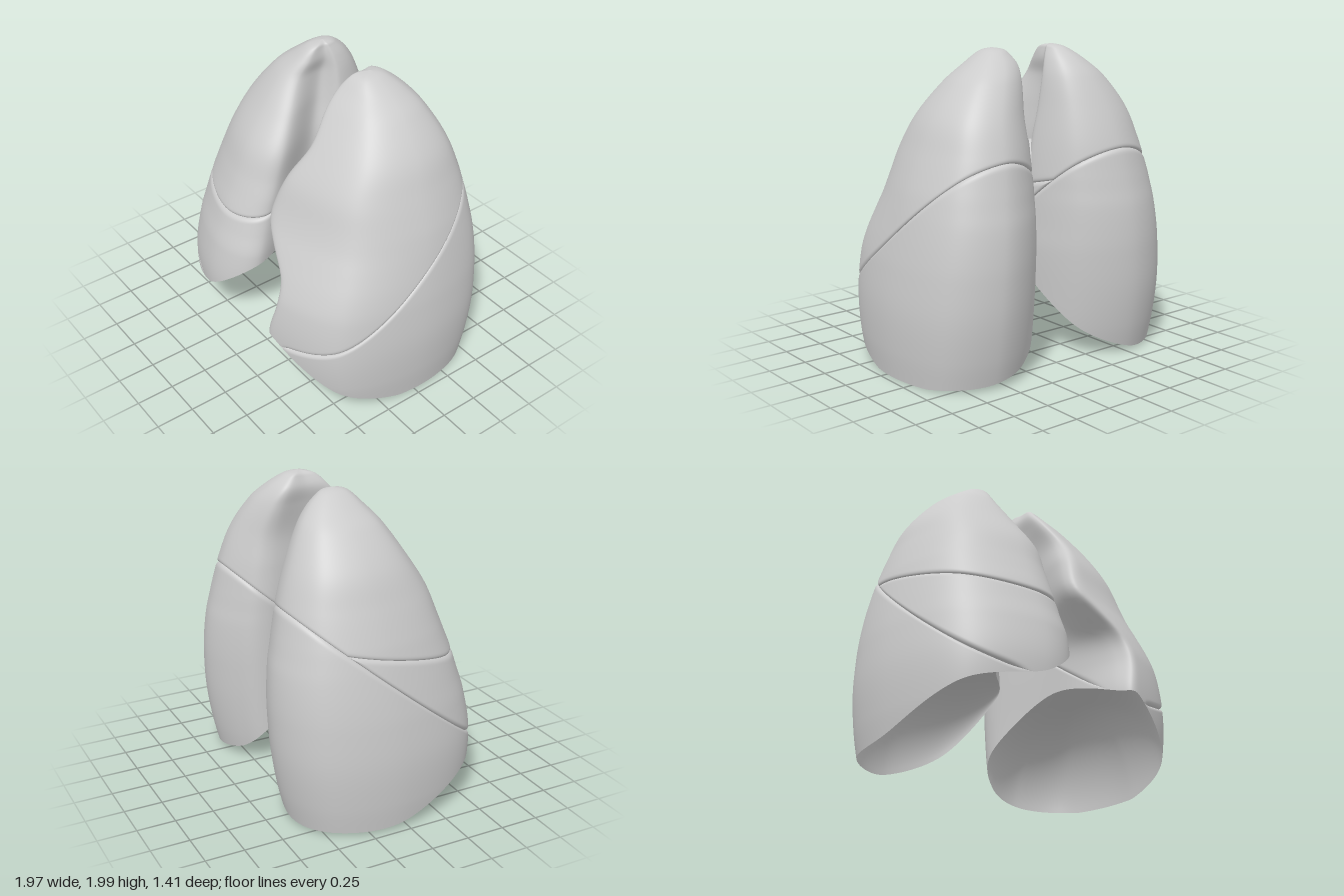
import * as THREE from 'three';

const lungMat = new THREE.MeshStandardMaterial({ color: 0xcccccc });
lungMat.name = 'lung grey';

const NU = 162;
const mix = THREE.MathUtils.lerp;
const clamp = THREE.MathUtils.clamp;

// Outer envelope shared by both lungs: height, outer x, front z, back z
const ENVELOPE = [
  [-0.02, 0.95, 0.62, -0.60], [0.2, 0.975, 0.68, -0.65], [0.45, 0.983, 0.70, -0.685],
  [0.7, 0.963, 0.66, -0.695], [0.85, 0.94, 0.61, -0.69], [1.0, 0.91, 0.56, -0.675],
  [1.1, 0.887, 0.52, -0.655], [1.2, 0.86, 0.48, -0.635], [1.4, 0.79, 0.4, -0.59],
  [1.6, 0.705, 0.265, -0.52], [1.8, 0.55, 0.12, -0.42], [1.9, 0.43, 0.03, -0.34],
  [1.97, 0.33, -0.04, -0.255], [1.99, 0.288, -0.085, -0.21], [2.0, 0.24, -0.15, -0.15],
];

// Per lung: inner x of the rear bulge, hollow and front edge (one per envelope row),
// lower rim height around the section, fissure sheets y = a + b z + c z z
const LEFT = {
  name: 'left', sign: 1, bulgeZ: 0.21, edgeZ: 0.94, frontX: 0.19, cornerX: 0.68, dome: 0.61,
  bulge: [0.17, 0.16, 0.16, 0.16, 0.16, 0.16, 0.16, 0.16, 0.17, 0.18, 0.15, 0.14, 0.17, 0.19, 0.24],
  hollow: [0.28, 0.27, 0.26, 0.25, 0.24, 0.22, 0.21, 0.2, 0.2, 0.2, 0.17, 0.155, 0.18, 0.2, 0.24],
  edge: [0.32, 0.31, 0.3, 0.345, 0.315, 0.175, 0.088, 0.07, 0.115, 0.18, 0.15, 0.15, 0.18, 0.2, 0.24],
  rim: [0.46, 0.41, 0.13, -0.01, 0.02, 0.04, 0.11, 0.3, 0.58],
  oblique: [0.86, -0.76, 0.13],
  hilum: { u: 7.55, y: 1.2, turn: 0.1 },
};
const RIGHT = {
  name: 'right', sign: -1, bulgeZ: 0.41, edgeZ: 0.89, frontX: 0.32, cornerX: 0.75, dome: 0.64,
  bulge: [0.1, 0.06, 0.04, 0.03, 0.035, 0.04, 0.045, 0.05, 0.07, 0.1, 0.13, 0.155, 0.185, 0.2, 0.24],
  hollow: [0.25, 0.22, 0.2, 0.19, 0.18, 0.18, 0.18, 0.18, 0.18, 0.2, 0.21, 0.19, 0.2, 0.21, 0.24],
  edge: [0.1, 0.08, 0.06, 0.04, 0.05, 0.06, 0.06, 0.065, 0.075, 0.14, 0.21, 0.2, 0.2, 0.21, 0.24],
  rim: [0.64, 0.385, 0.27, 0.05, 0.03, 0.035, 0.21, 0.54, 0.64],
  oblique: [0.87, -0.79, 0.04],
  horizontal: [1.08, -0.22, 0],
  hilum: { u: 7.5, y: 1.22, turn: 0.55 },
};

// Smooth interpolation of a column over the envelope heights
function column(values, y) {
  const h = ENVELOPE.map((r) => r[0]);
  const n = h.length;
  let i = 0;
  while (i < n - 2 && y > h[i + 1]) i++;
  const slope = (k) => {
    const a = Math.max(k - 1, 0), b = Math.min(k + 1, n - 1);
    return (values[b] - values[a]) / (h[b] - h[a]);
  };
  const d = h[i + 1] - h[i], t = clamp((y - h[i]) / d, 0, 1), t2 = t * t, t3 = t2 * t;
  return (2 * t3 - 3 * t2 + 1) * values[i] + (t3 - 2 * t2 + t) * d * slope(i)
    + (3 * t2 - 2 * t3) * values[i + 1] + (t3 - t2) * d * slope(i + 1);
}

// Closed Catmull-Rom through a ring of values
function ring(v, u) {
  const n = v.length, i = Math.floor(u), t = u - i;
  const [a, b, c, d] = [-1, 0, 1, 2].map((k) => v[(i + k + n) % n]);
  return 0.5 * (2 * b + (c - a) * t + (2 * a - 5 * b + 4 * c - d) * t * t
    + (3 * b - a - 3 * c + d) * t * t * t);
}

// Point on the lung wall; u runs 0..9 from the front edge round the outside to the hollow
function wall(L, u, y, inset = 0) {
  const [xo, zf, zb] = [1, 2, 3].map((k) => column(ENVELOPE.map((r) => r[k]), y));
  const xm = column(L.bulge, y), xc = column(L.hollow, y), xa = column(L.edge, y);
  const xf = mix(xa, xo, L.frontX), xb = mix(xm, xo, 0.52);
  const zo = mix(zb, zf, 0.48), zm = mix(zb, zf, L.bulgeZ);
  const xs = [xa, xf, mix(xf, xo, 0.74), xo, mix(xb, xo, 0.77), xb, mix(xb, xm, L.cornerX), xm, xc];
  const zs = [mix(zb, zf, L.edgeZ), zf, mix(zo, zf, 0.72), zo, mix(zo, zb, 0.73), zb,
    mix(zm, zb, 0.7), zm, mix(zb, zf, 0.57)];
  const k = inset / 0.45;
  return new THREE.Vector3(mix(ring(xs, u), (xm + xo) / 2, k), y, mix(ring(zs, u), zo, k));
}

// Height at which a fissure sheet meets the wall
function cut(L, [a, b, c], u) {
  let lo = 0, hi = 1.99;
  for (let i = 0; i < 22; i++) {
    const y = (lo + hi) / 2, z = wall(L, u, y).z;
    if (y < a + b * z + c * z * z) lo = y; else hi = y;
  }
  return lo;
}

// Surface from closed rings, mirrored for the other side
function loft(name, L, nv, point) {
  const pos = [], idx = [];
  for (let j = 0; j <= nv; j++) {
    for (let i = 0; i < NU; i++) {
      const p = point(i, j / nv);
      pos.push(p.x * L.sign, p.y, p.z);
    }
  }
  for (let j = 0; j < nv; j++) {
    for (let i = 0; i < NU; i++) {
      const a = j * NU + i, b = j * NU + (i + 1) % NU, c = b + NU, d = a + NU;
      if (L.sign > 0) idx.push(a, b, c, a, c, d);
      else idx.push(a, c, b, a, d, c);
    }
  }
  const g = new THREE.BufferGeometry();
  g.setAttribute('position', new THREE.Float32BufferAttribute(pos, 3));
  g.setIndex(idx);
  g.computeVertexNormals();
  const mesh = new THREE.Mesh(g, lungMat);
  mesh.name = name;
  return mesh;
}

// One lobe between two height rings, rounded in where it meets a fissure
function lobe(name, L, rim, low, high, nv) {
  const rounding = (d) => {
    const e = clamp(1 - d / 0.03, 0, 1);
    return 0.018 * (1 - Math.sqrt(1 - e * e));
  };
  return loft(name, L, nv, (i, v) => {
    const t = 0.5 - 0.5 * Math.cos(Math.PI * v);
    const y = mix(low[i], high[i], t);
    const atFissure = (h) => THREE.MathUtils.smoothstep(h - rim[i], 0, 0.06);
    let inset = rounding(y - low[i]) * atFissure(low[i]);
    if (high[i] < 1.99) inset = Math.max(inset, rounding(high[i] - y) * atFissure(high[i]));
    return wall(L, i * 9 / NU, y, inset);
  });
}

// Root of the lung on the inner face, with the rims of cut airways and vessels
function hilum(L) {
  const g = new THREE.Group();
  g.name = L.name + 'Hilum';
  const plate = new THREE.Mesh(new THREE.CylinderGeometry(1, 1, 0.03, 32), lungMat);
  plate.name = 'hilumPlate';
  plate.rotation.z = Math.PI / 2;
  plate.scale.set(0.17, 1, 0.11);
  g.add(plate);
  for (const [y, z, r] of [[0.09, 0, 0.045], [0, 0.045, 0.035], [-0.01, -0.045, 0.035], [-0.1, 0, 0.04]]) {
    const lip = new THREE.Mesh(new THREE.TorusGeometry(r, 0.008, 8, 24), lungMat);
    lip.name = 'airwayLip';
    lip.rotation.y = Math.PI / 2;
    lip.position.set(-L.sign * 0.015, y, z);
    g.add(lip);
  }
  const p = wall(L, L.hilum.u, L.hilum.y);
  g.position.set(L.sign * p.x, p.y, p.z);
  g.rotation.y = L.sign * L.hilum.turn;
  return g;
}

function lung(L) {
  const g = new THREE.Group();
  g.name = L.name + 'Lung';
  const us = Array.from({ length: NU }, (_, i) => i * 9 / NU);
  const rim = us.map((u) => Math.max(0.01, ring(L.rim, u)));
  const oblique = us.map((u, i) => Math.max(rim[i], cut(L, L.oblique, u)));
  const top = us.map(() => 2);
  g.add(lobe(L.name + 'LowerLobe', L, rim, rim, oblique, 56));
  let base = oblique;
  if (L.horizontal) {
    base = us.map((u, i) => Math.max(oblique[i], cut(L, L.horizontal, u)));
    g.add(lobe(L.name + 'MiddleLobe', L, rim, oblique, base, 44));
  }
  g.add(lobe(L.name + 'UpperLobe', L, rim, base, top, 64));

  // Hollow underside domed over the diaphragm
  const centre = new THREE.Vector3(0.55, L.dome, 0);
  g.add(loft(L.name + 'Underside', L, 28, (i, v) => {
    const r = Math.sin(v * Math.PI / 2);
    const p = wall(L, us[i], rim[i]);
    const y = mix(rim[i], centre.y, Math.sqrt(Math.max(0, 1 - r * r)));
    return new THREE.Vector3(mix(centre.x, p.x, r), y, mix(centre.z, p.z, r));
  }));
  g.add(hilum(L));
  return g;
}

export function createModel() {
  const model = new THREE.Group();
  model.name = 'lungs';
  model.add(lung(LEFT), lung(RIGHT));
  return model;
}
